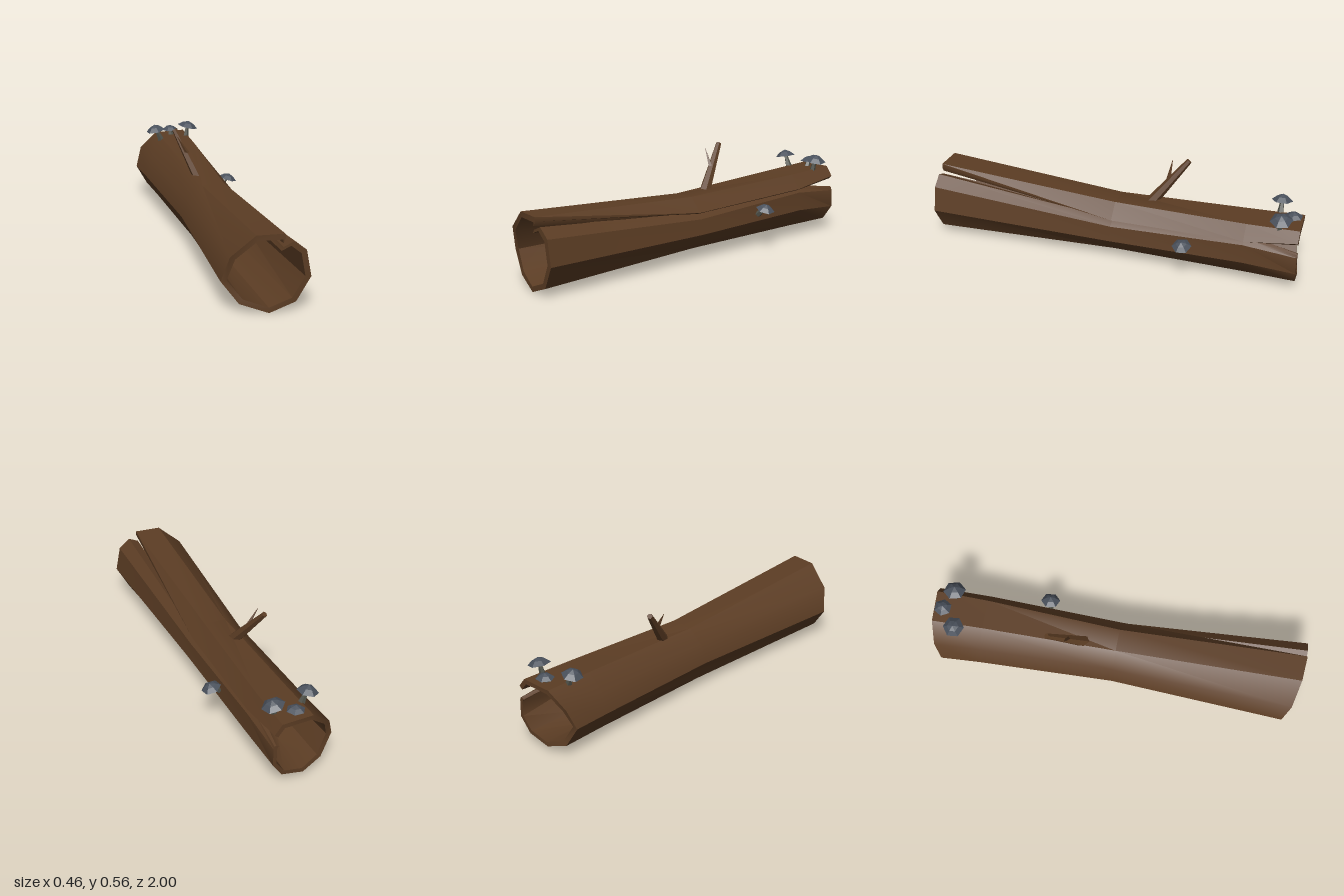
import * as THREE from 'three';
import { toCreasedNormals } from 'three/addons/utils/BufferGeometryUtils.js';

const bark = new THREE.MeshStandardMaterial({ color: 0x5c3d24 });
bark.name = 'bark brown';
const slate = new THREE.MeshStandardMaterial({ color: 0x4a515c });
slate.name = 'slate cap';
const stalk = new THREE.MeshStandardMaterial({ color: 0x51534b });
stalk.name = 'stalk grey';

// Outer outlines of the split shell, from its upper lip round to the tucked-in lower lip
const sections = [
  { z: 1, p: [[0.06, 0.378], [0.058, 0.4], [-0.08, 0.4], [-0.2, 0.295], [-0.235, 0.165], [-0.15, 0.05],
    [-0.01, 0], [0.12, 0.05], [0.19, 0.175], [0.165, 0.31], [0.105, 0.36], [0.05, 0.335]] },
  { z: 0, p: [[0.115, 0.265], [0.045, 0.34], [-0.075, 0.337], [-0.16, 0.27], [-0.19, 0.17], [-0.135, 0.06],
    [-0.05, 0.02], [0.06, 0.06], [0.14, 0.15], [0.125, 0.232], [0.09, 0.262], [0.06, 0.28]] },
  { z: -0.72, p: [[0.125, 0.285], [0.07, 0.36], [-0.09, 0.362], [-0.185, 0.285], [-0.22, 0.18], [-0.16, 0.07],
    [-0.055, 0.027], [0.055, 0.06], [0.137, 0.165], [0.127, 0.265], [0.1, 0.288], [0.07, 0.3]] },
  { z: -1, p: [[0.11, 0.318], [0.07, 0.37], [-0.1, 0.37], [-0.2, 0.29], [-0.235, 0.185], [-0.17, 0.07],
    [-0.06, 0.032], [0.06, 0.06], [0.115, 0.14], [0.113, 0.235], [0.108, 0.25], [0.1, 0.255]] },
];

// How far each outline point falls short of the log's ends
const trim = [0, 0, 0.01, 0.035, 0.07, 0.05, 0.02, 0.01, 0, 0, 0, 0];

function logGeometry() {
  const n = 12, ring = 2 * n, pos = [], idx = [];
  for (const { z, p } of sections) {
    const zAt = k => Math.abs(z) === 1 ? z - Math.sign(z) * trim[k] : z;
    p.forEach(([x, y], k) => pos.push(x, y, zAt(k)));
    // inner wall, in reverse, to close the loop
    for (let k = n - 1; k >= 0; k--) {
      const [x, y] = p[k];
      pos.push(-0.02 + (x + 0.02) * 0.86, 0.2 + (y - 0.2) * 0.86, zAt(k));
    }
  }
  for (let s = 0; s < sections.length - 1; s++) {
    for (let i = 0; i < ring; i++) {
      const a = s * ring + i, b = s * ring + (i + 1) % ring;
      idx.push(a, a + ring, b, b, a + ring, b + ring);
    }
  }
  // end rims
  const last = (sections.length - 1) * ring;
  for (let i = 0; i < n - 1; i++) {
    const a = i, b = i + 1, c = ring - 2 - i, d = ring - 1 - i;
    idx.push(a, b, c, a, c, d);
    idx.push(last + a, last + c, last + b, last + a, last + d, last + c);
  }
  const g = new THREE.BufferGeometry();
  g.setAttribute('position', new THREE.Float32BufferAttribute(pos, 3));
  g.setIndex(idx);
  return toCreasedNormals(g, 0.65);
}

function mesh(name, geometry, material) {
  const m = new THREE.Mesh(geometry, material);
  m.name = name;
  return m;
}

// Tapered faceted limb between two points
function limb(name, from, to, r0, r1, sides, material) {
  const a = new THREE.Vector3(...from), b = new THREE.Vector3(...to);
  const dir = b.clone().sub(a);
  const g = new THREE.CylinderGeometry(r1, r0, dir.length(), sides);
  const m = mesh(name, toCreasedNormals(g, 0.3), material);
  m.position.copy(a).add(b).multiplyScalar(0.5);
  m.quaternion.setFromUnitVectors(new THREE.Vector3(0, 1, 0), dir.normalize());
  return m;
}

// Six-sided cap on a tapering stalk
function mushroom({ base, top, r, h, tilt, turn }) {
  const group = new THREE.Group();
  group.name = 'mushroom';
  const profile = [[0, h * 0.2], [r, 0], [r * 0.55, h * 0.62], [0, h]].map(q => new THREE.Vector2(...q));
  const cap = mesh('mushroomCap', toCreasedNormals(new THREE.LatheGeometry(profile, 6, turn), 0.2), slate);
  cap.position.set(...top);
  cap.rotation.z = tilt;
  group.add(cap, limb('mushroomStalk', base, [top[0], top[1] + h * 0.3, top[2]], 0.018, 0.008, 5, stalk));
  return group;
}

export function createModel() {
  const model = new THREE.Group();
  model.name = 'hollowLog';
  model.add(mesh('log', logGeometry(), bark));

  // broken branch with a pointed twig
  model.add(limb('branch', [-0.045, 0.315, -0.165], [-0.138, 0.556, -0.35], 0.032, 0.015, 6, bark));
  model.add(limb('twig', [-0.085, 0.435, -0.25], [-0.145, 0.54, -0.257], 0.014, 0.001, 4, bark));

  const mushrooms = [
    { base: [-0.1, 0.36, -0.86], top: [-0.13, 0.417, -0.86], r: 0.056, h: 0.036, tilt: 0.2, turn: 0.1 },
    { base: [-0.02, 0.36, -0.93], top: [-0.025, 0.394, -0.945], r: 0.048, h: 0.027, tilt: 0, turn: 0.5 },
    { base: [0.06, 0.35, -0.89], top: [0.073, 0.417, -0.9], r: 0.06, h: 0.034, tilt: -0.25, turn: 0.3 },
    { base: [0.135, 0.195, -0.4], top: [0.183, 0.23, -0.41], r: 0.052, h: 0.03, tilt: -0.32, turn: 0.2 },
  ];
  for (const m of mushrooms) model.add(mushroom(m));
  return model;
}
